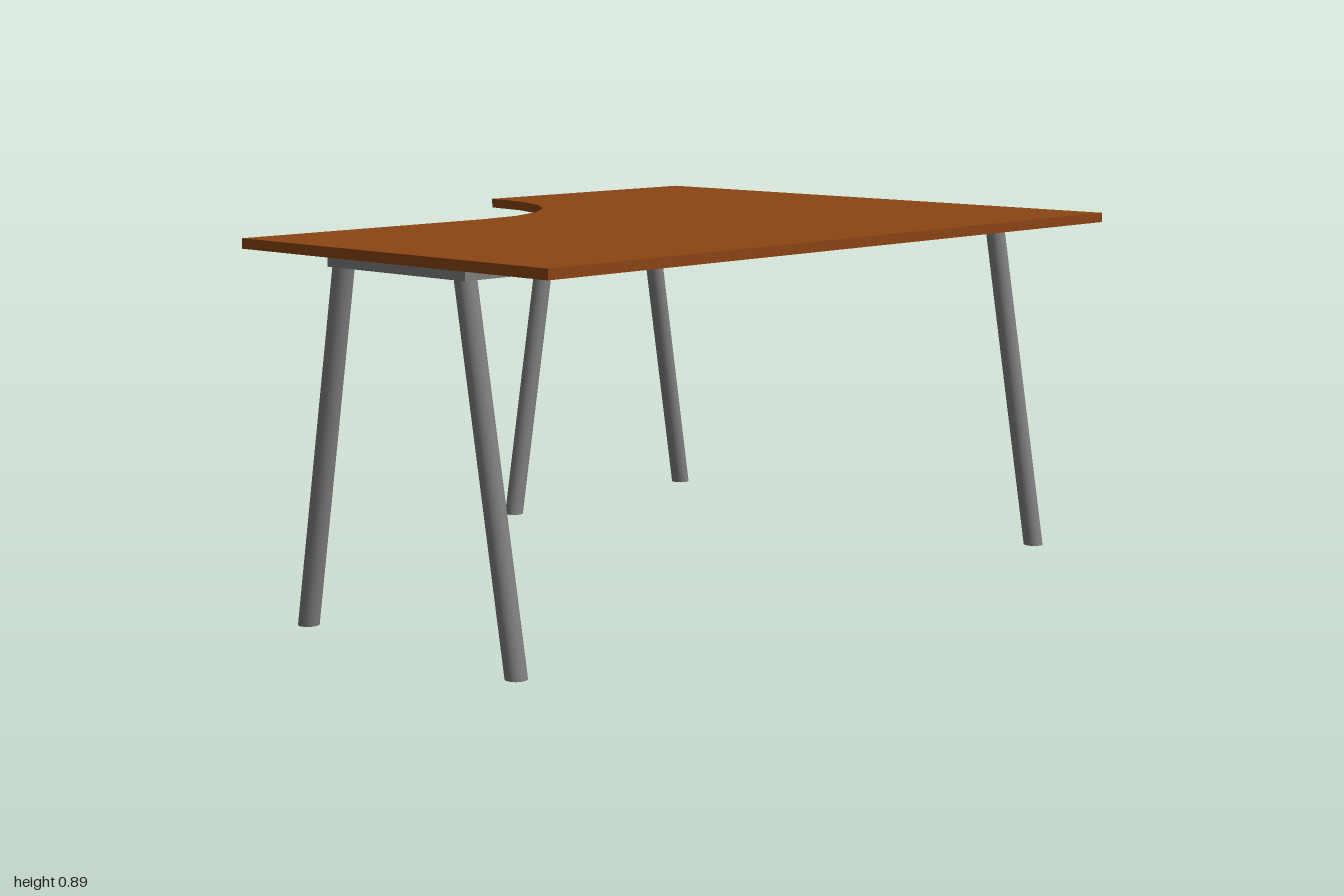
import * as THREE from 'three';

const TOP = 0.888, RAIL_TOP = 0.864, RAIL_BOTTOM = 0.84;
const TUBE = 0.05; // leg diameter and rail width
const SPLAY = 0.147;

export function createModel() {
  const model = new THREE.Group();
  model.name = 'cornerDesk';
  const wood = new THREE.MeshStandardMaterial({ color: 0x8b4513 });
  const metal = new THREE.MeshStandardMaterial({ color: 0x808080 });

  const add = (name, geometry, material) => {
    const mesh = new THREE.Mesh(geometry, material);
    mesh.name = name;
    model.add(mesh);
    return mesh;
  };

  // Desktop: L-shaped board with a faceted quarter-circle inner corner
  const outline = [[-1, -0.25]];
  for (let i = 0; i <= 6; i++) {
    const a = Math.PI / 2 * (1 - i / 6);
    outline.push([-0.25 + 0.5 * Math.cos(a), -0.75 + 0.5 * Math.sin(a)]);
  }
  outline.push([1, -0.75], [1, 0.75], [-1, 0.75]);
  const board = new THREE.Shape(outline.map(([x, z]) => new THREE.Vector2(x, z)));
  const boardGeometry = new THREE.ExtrudeGeometry(board, { depth: TOP - RAIL_TOP, bevelEnabled: false });
  boardGeometry.rotateX(Math.PI / 2);
  add('desktop', boardGeometry, wood).position.y = TOP;

  // Rails: flat bars given by their extents in x and z
  const rail = (name, x0, x1, z0, z1) => {
    const geometry = new THREE.BoxGeometry(x1 - x0, RAIL_TOP - RAIL_BOTTOM, z1 - z0);
    add(name, geometry, metal).position.set((x0 + x1) / 2, (RAIL_TOP + RAIL_BOTTOM) / 2, (z0 + z1) / 2);
  };
  const h = TUBE / 2;
  rail('frontRail', -0.975, 0.975, 0.45 - h, 0.45 + h);
  rail('middleRail', -0.975, 0.975, 0.05 - h, 0.05 + h);
  rail('returnBackRail', 0.4, 0.85, -0.7 - h, -0.7 + h);
  for (const x of [-0.95, 0.95]) rail('endRail', x - h, x + h, 0.05 + h, 0.45 - h);
  for (const x of [0.425, 0.825]) rail('returnSideRail', x - h, x + h, -0.7 + h, 0.05 - h);

  // Legs: round tubes sheared outwards so both ends stay level
  const leg = (name, x, z, dx, dz) => {
    const geometry = new THREE.CylinderGeometry(h, h, RAIL_BOTTOM, 24);
    geometry.translate(0, -RAIL_BOTTOM / 2, 0);
    const kx = -dx / RAIL_BOTTOM, kz = -dz / RAIL_BOTTOM;
    geometry.applyMatrix4(new THREE.Matrix4().set(
      1, kx, 0, 0,
      0, 1, 0, 0,
      0, kz, 1, 0,
      0, 0, 0, 1));
    add(name, geometry, metal).position.set(x, RAIL_BOTTOM, z);
  };
  leg('frontLeftLeg', 0.95, 0.45, 0, SPLAY);
  leg('frontRightLeg', -0.95, 0.45, 0, SPLAY);
  leg('middleRightLeg', -0.95, 0.05, 0, -SPLAY);
  leg('returnInnerLeg', 0.425, -0.7, -SPLAY, 0);
  leg('returnOuterLeg', 0.825, -0.7, SPLAY, 0);

  return model;
}
